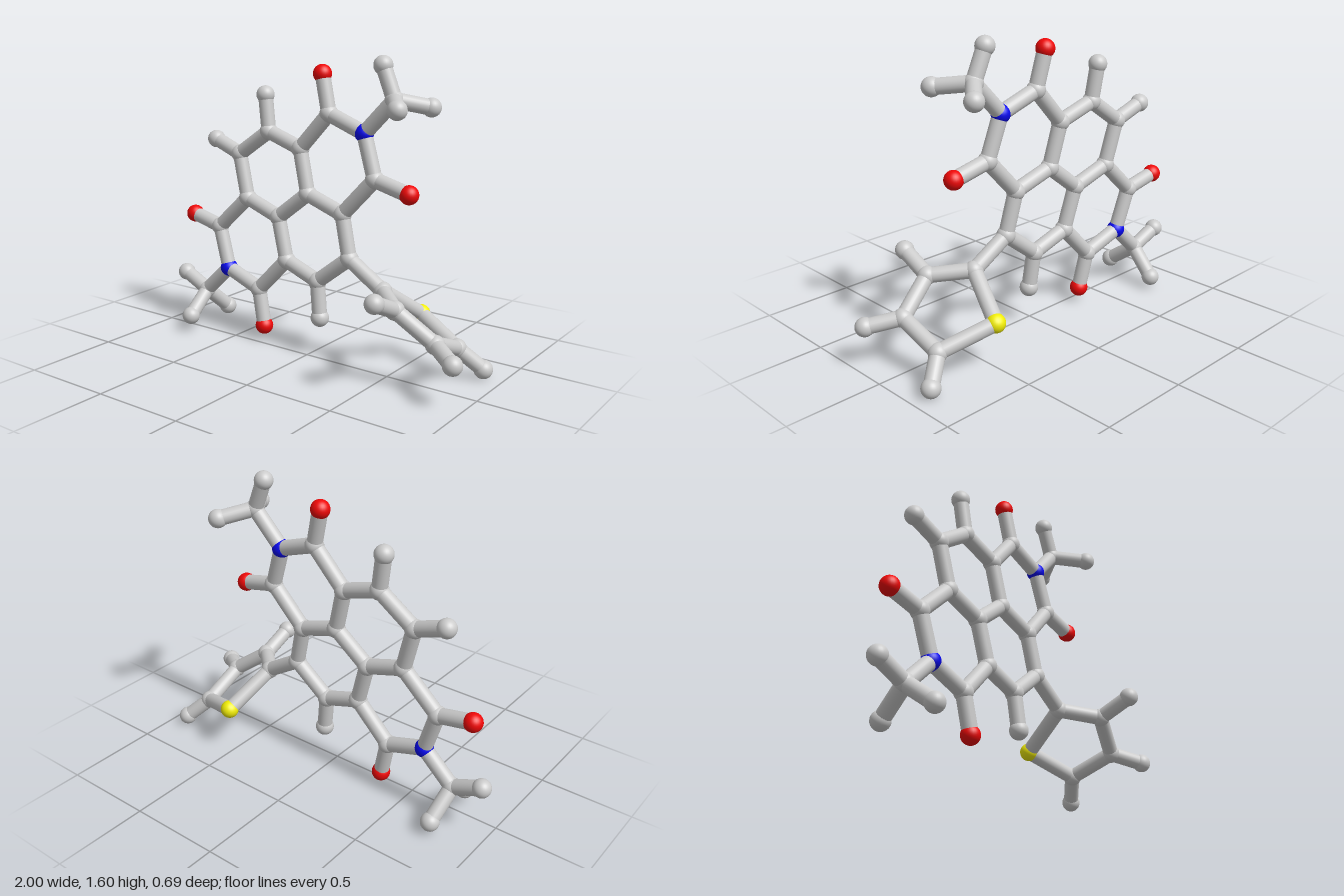
import * as THREE from 'three';

const BALL = 0.049, STICK = 0.04;

export function createModel() {
  const model = new THREE.Group();
  model.name = 'moleculeModel';

  const paint = (color) => new THREE.MeshStandardMaterial({ color });
  const grey = paint(0xcccccc);
  const materials = { C: grey, H: grey, O: paint(0xee0808), N: paint(0x0808ee), S: paint(0xf2ee08) };
  const names = { C: 'carbonBall', H: 'hydrogenBall', O: 'oxygenBall', N: 'nitrogenBall', S: 'sulfurBall' };

  // The fused ring system lies in one slightly tilted plane
  const flat = (x, y) => [x, y, -0.037 + 0.039 * x - 0.056 * y];

  const atoms = {
    // upper imide ring
    O1: flat(0.01, 1.49), C1: flat(0.06, 1.29), N1: flat(0.285, 1.21),
    C2: flat(0.36, 0.985), O2: flat(0.565, 0.935), C3: flat(0.17, 0.785),
    C4: flat(-0.06, 0.86), C5: flat(-0.12, 1.095),
    // middle rings
    C6: flat(-0.34, 1.165), H6: flat(-0.37, 1.36), C7: flat(-0.545, 1.025), H7: flat(-0.725, 1.09),
    C8: flat(-0.48, 0.785), C9: flat(-0.255, 0.71), C10: flat(-0.19, 0.48),
    C11: flat(0.025, 0.405), H11: flat(0.05, 0.21), C12: flat(0.225, 0.56),
    // lower imide ring
    C13: flat(-0.685, 0.595), O3: flat(-0.885, 0.64), N2: flat(-0.61, 0.365),
    C14: flat(-0.38, 0.285), O4: flat(-0.335, 0.085),
    // upper methyl group
    C15: [0.455, 1.385, -0.095], H15a: [0.385, 1.55, -0.1],
    H15b: [0.57, 1.36, 0.07], H15c: [0.58, 1.345, -0.24],
    // lower methyl group
    C16: [-0.78, 0.205, -0.08], H16a: [-0.95, 0.28, -0.09],
    H16b: [-0.765, 0.09, 0.08], H16c: [-0.755, 0.07, -0.23],
    // five-sided ring with sulfur
    C17: [0.435, 0.43, -0.05], S1: [0.52, 0.26, -0.298],
    C18: [0.605, 0.405, 0.11], H18: [0.6, 0.485, 0.29],
    C19: [0.8, 0.26, 0.06], H19: [0.95, 0.225, 0.167],
    C20: [0.79, 0.165, -0.187], H20: [0.9, 0.053, -0.265],
  };

  // Each chain joins its atoms in order
  const chains = [
    'C1 N1 C2 C3 C4 C5 C1', 'C5 C6 C7 C8 C9 C4', 'C9 C10 C11 C12 C3',
    'C8 C13 N2 C14 C10', 'C1 O1', 'C2 O2', 'C13 O3', 'C14 O4',
    'C6 H6', 'C7 H7', 'C11 H11',
    'N1 C15 H15a', 'H15b C15 H15c', 'N2 C16 H16a', 'H16b C16 H16c',
    'C12 C17 C18 C19 C20 S1 C17', 'C18 H18', 'C19 H19', 'C20 H20',
  ];

  // Balls
  const ballGeometry = new THREE.SphereGeometry(BALL, 28, 18);
  for (const [id, position] of Object.entries(atoms)) {
    const ball = new THREE.Mesh(ballGeometry, materials[id[0]]);
    ball.name = names[id[0]];
    ball.position.set(...position);
    model.add(ball);
  }

  // Sticks
  const stickGeometry = new THREE.CylinderGeometry(STICK, STICK, 1, 24, 1, true);
  const up = new THREE.Vector3(0, 1, 0);
  for (const chain of chains) {
    const points = chain.split(' ').map((id) => new THREE.Vector3(...atoms[id]));
    for (let i = 1; i < points.length; i++) {
      const span = points[i].clone().sub(points[i - 1]);
      const stick = new THREE.Mesh(stickGeometry, grey);
      stick.name = 'bondStick';
      stick.position.copy(points[i]).add(points[i - 1]).multiplyScalar(0.5);
      stick.scale.y = span.length();
      stick.quaternion.setFromUnitVectors(up, span.normalize());
      model.add(stick);
    }
  }
  return model;
}
